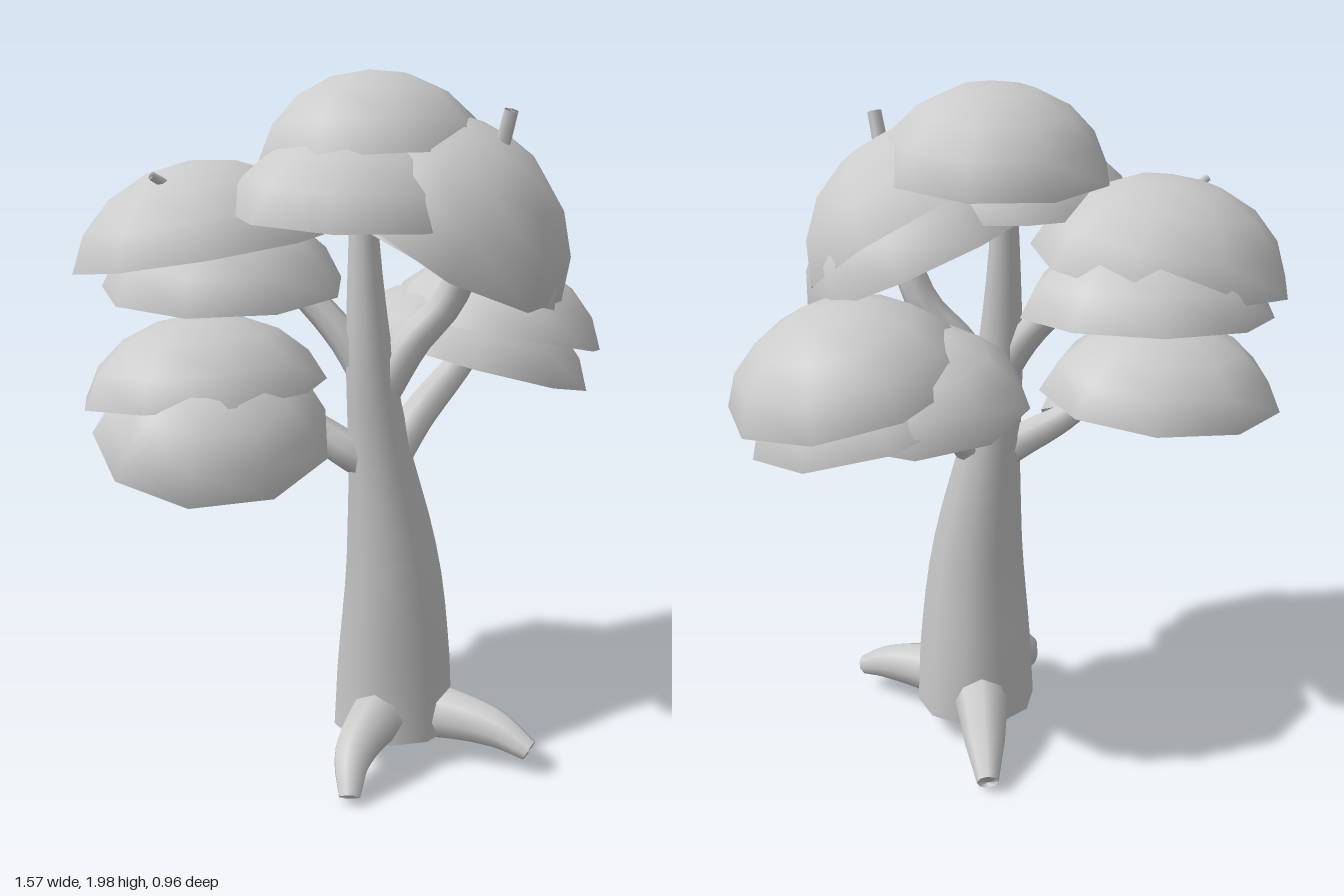
import * as THREE from 'three';

const material = new THREE.MeshStandardMaterial({ color: 0xcccccc, side: THREE.DoubleSide });

// Tapered limb with flat ends: a tube whose rings are scaled to radii spread along its length
function limb(name, points, radii, { sides = 8, segments = 14 } = {}) {
  const curve = new THREE.CatmullRomCurve3(points.map(p => new THREE.Vector3(...p)));
  const geometry = new THREE.TubeGeometry(curve, segments, 1, sides);
  const pos = geometry.attributes.position;
  const v = new THREE.Vector3();
  for (let i = 0; i <= segments; i++) {
    // The first and last rings shrink to a point inside their neighbours and close the ends
    const u = THREE.MathUtils.clamp((i - 1) / (segments - 2), 0, 1);
    const t = u * (radii.length - 1);
    const k = Math.min(Math.floor(t), radii.length - 2);
    const isEnd = i === 0 || i === segments;
    const r = isEnd ? 0 : THREE.MathUtils.lerp(radii[k], radii[k + 1], t - k);
    const from = curve.getPointAt(i / segments);
    const to = curve.getPointAt(u);
    for (let j = 0; j <= sides; j++) {
      const n = i * (sides + 1) + j;
      v.fromBufferAttribute(pos, n).sub(from).multiplyScalar(r).add(to);
      pos.setXYZ(n, v.x, v.y, v.z);
    }
  }
  const mesh = new THREE.Mesh(geometry, material);
  mesh.name = name;
  return mesh;
}

// Open leaf shell: a squashed nine-sided dome; its rim rises by slopeX along x and slopeZ along z
function leafShell(name, [x, y, z], [rx, height, rz], slopeX, slopeZ, turn) {
  const end = Math.PI * 0.43;
  const geometry = new THREE.SphereGeometry(1, 9, 4, turn, Math.PI * 2, 0, end);
  geometry.translate(0, -Math.cos(end), 0);
  geometry.scale(rx * 1.03, height / (1 - Math.cos(end)), rz * 1.03);
  const mesh = new THREE.Mesh(geometry, material);
  mesh.name = name;
  const up = new THREE.Vector3(-slopeX, 1, -slopeZ).normalize();
  mesh.quaternion.setFromUnitVectors(new THREE.Vector3(0, 1, 0), up);
  mesh.position.set(x, y, z);
  return mesh;
}

export function createModel() {
  const tree = new THREE.Group();
  tree.name = 'tree';

  // Trunk, wide at the foot and leaning as it narrows
  tree.add(limb('trunk',
    [[0.09, 0.1, 0.09], [0.09, 0.3, 0.09], [0.08, 0.6, 0.105], [0.04, 0.95, 0.1], [0.012, 1.2, 0.1], [0.0, 1.5, 0.08], [0.0, 1.72, 0.07]],
    [0.182, 0.172, 0.152, 0.126, 0.095, 0.076, 0.06, 0.045, 0.035], { sides: 10, segments: 20 }));

  // Roots
  const roots = [
    [[0.07, 0.16, 0.13], [-0.02, 0.17, 0.25], [-0.09, 0.12, 0.33], [-0.115, 0.035, 0.4]],
    [[0.12, 0.15, 0.12], [0.24, 0.15, 0.2], [0.35, 0.13, 0.28], [0.43, 0.085, 0.35]],
    [[0.09, 0.17, 0.05], [0.09, 0.17, -0.08], [0.095, 0.11, -0.2], [0.1, 0.05, -0.32]],
  ];
  roots.forEach(path => tree.add(limb('root', path, [0.09, 0.078, 0.06, 0.032])));

  // Branches reaching into the leaf clusters
  const branches = [
    [[[0.04, 0.9, 0.1], [-0.06, 0.96, 0.09], [-0.17, 1.04, 0.04], [-0.36, 1.2, 0.0]], [0.06, 0.05, 0.035, 0.02]],
    [[[0.06, 0.9, 0.1], [0.16, 1.03, 0.06], [0.3, 1.15, -0.02], [0.48, 1.32, -0.12]], [0.06, 0.052, 0.042, 0.025]],
    [[[0.02, 1.14, 0.1], [-0.06, 1.28, 0.06], [-0.17, 1.41, 0.0], [-0.34, 1.58, -0.08]], [0.05, 0.045, 0.038, 0.022]],
    [[[0.03, 1.1, 0.1], [0.13, 1.26, 0.11], [0.23, 1.38, 0.13], [0.31, 1.64, 0.2]], [0.06, 0.052, 0.045, 0.025]],
  ];
  branches.forEach(([path, radii]) => tree.add(limb('branch', path, radii)));

  // Leaf clusters, each of overlapping shells: centre, size, slope x, slope z, turn
  const clusters = {
    crownLeaves: [
      [[0.03, 1.765, 0.05], [0.33, 0.235, 0.32], 0.02, 0.12, 0.2],
      [[-0.04, 1.63, 0.16], [0.35, 0.23, 0.31], -0.02, -0.06, 0.5],
      [[0.21, 1.58, 0.14], [0.38, 0.3, 0.36], -0.52, -0.4, 0],
      [[0.24, 1.5, 0.1], [0.34, 0.27, 0.32], -0.42, -0.15, 0.35],
    ],
    upperRightLeaves: [
      [[-0.42, 1.51, -0.07], [0.37, 0.25, 0.33], 0.14, 0.08, 0.1],
      [[-0.36, 1.395, -0.14], [0.35, 0.23, 0.34], 0.02, -0.08, 0.45],
    ],
    lowerRightLeaves: [
      [[-0.44, 1.12, -0.02], [0.35, 0.22, 0.31], 0.06, 0.08, 0.3],
      [[-0.43, 1.03, 0.1], [0.33, 0.21, 0.3], 0.03, -0.48, 0.55],
    ],
    lowerLeftLeaves: [
      [[0.45, 1.23, -0.15], [0.34, 0.23, 0.34], -0.22, 0.1, 0.2],
      [[0.38, 1.15, -0.13], [0.36, 0.22, 0.34], -0.29, 0.05, 0.6],
      [[0.26, 1.18, -0.17], [0.3, 0.2, 0.29], -0.05, 0.22, 0.4],
    ],
  };
  for (const [name, shells] of Object.entries(clusters)) {
    const group = new THREE.Group();
    group.name = name;
    shells.forEach(s => group.add(leafShell('leafShell', ...s)));
    tree.add(group);
  }

  // Twig tips poking through the leaves
  tree.add(limb('twig', [[0.31, 1.64, 0.2], [0.33, 1.8, 0.25], [0.345, 1.9, 0.275]], [0.025, 0.022, 0.02], { sides: 6, segments: 6 }));
  tree.add(limb('twig', [[-0.34, 1.58, -0.08], [-0.46, 1.66, 0.0], [-0.57, 1.73, 0.05]], [0.02, 0.016, 0.012], { sides: 6, segments: 6 }));
  return tree;
}
